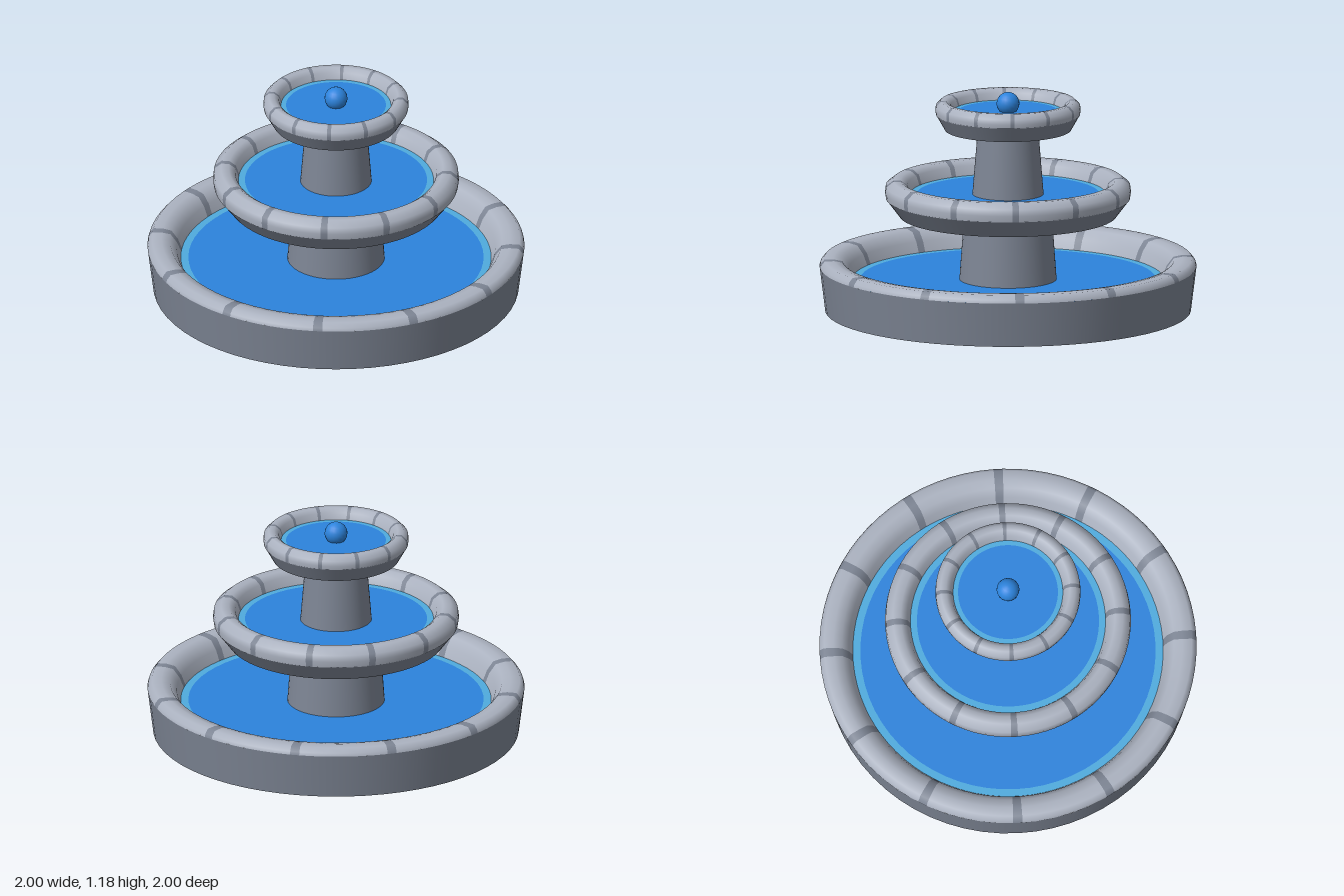
import * as THREE from 'three';

const mat = (name, color) => {
  const m = new THREE.MeshStandardMaterial({ color });
  m.name = name;
  return m;
};
const SEGMENTS = 64, STONES = 12;

export function createModel() {
  const paleStone = mat('pale stone', 0xabb2c0);
  const darkStone = mat('dark stone', 0x7d8594);
  const water = mat('water', 0x2c83dc);
  const shallow = mat('shallow water', 0x4fabde);

  const root = new THREE.Group();
  root.name = 'fountain';

  const add = (parent, name, geometry, material, y = 0) => {
    const mesh = new THREE.Mesh(geometry, material);
    mesh.name = name;
    mesh.position.y = y;
    parent.add(mesh);
  };
  const points = (list) => list.map(([r, y]) => new THREE.Vector2(r, y));

  // One basin: dark bowl, ring of rim stones with joints, and a water surface
  function basin(name, { underside, wall, rim, level, radius, ring, joint }) {
    const group = new THREE.Group();
    group.name = name;
    root.add(group);
    add(group, 'underside', new THREE.LatheGeometry(points(underside), SEGMENTS), darkStone);
    add(group, 'bowlWall', new THREE.LatheGeometry(points(wall), SEGMENTS), darkStone);

    const step = (Math.PI * 2) / STONES;
    const half = joint / rim[0][0] / 2;
    for (let i = 0; i < STONES; i++) {
      const a = i * step;
      add(group, 'rimStone', new THREE.LatheGeometry(points(rim), 6, a + half, step - 2 * half), paleStone);
      add(group, 'rimJoint', new THREE.LatheGeometry(points(rim), 1, a - half, 2 * half), darkStone);
    }

    const inner = radius - ring;
    add(group, 'water', new THREE.CircleGeometry(inner, SEGMENTS).rotateX(-Math.PI / 2), water, level);
    add(group, 'waterEdge', new THREE.RingGeometry(inner, radius + 0.004, SEGMENTS).rotateX(-Math.PI / 2), shallow, level);
  }

  basin('lowerBasin', {
    underside: [[0, 0.14], [0.36, 0.135], [0.97, 0]],
    wall: [[0.97, 0], [1, 0.24]],
    rim: [[1, 0.24], [0.995, 0.257], [0.975, 0.28], [0.925, 0.281], [0.88, 0.272], [0.845, 0.225], [0.817, 0.155]],
    level: 0.17, radius: 0.82, ring: 0.037, joint: 0.05,
  });
  basin('middleBasin', {
    underside: [[0, 0.59], [0.25, 0.588], [0.575, 0.513]],
    wall: [[0.575, 0.513], [0.648, 0.61]],
    rim: [[0.647, 0.607], [0.652, 0.64], [0.648, 0.675], [0.61, 0.705], [0.568, 0.704], [0.535, 0.68], [0.512, 0.615]],
    level: 0.63, radius: 0.515, ring: 0.032, joint: 0.036,
  });
  basin('upperBasin', {
    underside: [[0, 1.02], [0.18, 1.015], [0.335, 0.978]],
    wall: [[0.335, 0.978], [0.383, 1.063]],
    rim: [[0.382, 1.06], [0.385, 1.08], [0.383, 1.107], [0.357, 1.133], [0.328, 1.132], [0.303, 1.113], [0.287, 1.065]],
    level: 1.077, radius: 0.29, ring: 0.025, joint: 0.022,
  });

  // Tapered columns between the basins
  add(root, 'lowerColumn', new THREE.CylinderGeometry(0.227, 0.262, 0.485, 48), darkStone, 0.3575);
  add(root, 'upperColumn', new THREE.CylinderGeometry(0.155, 0.19, 0.43, 48), darkStone, 0.835);

  // Bubble of water at the top
  add(root, 'waterBubble', new THREE.SphereGeometry(0.061, 20, 12), water, 1.118);

  return root;
}
